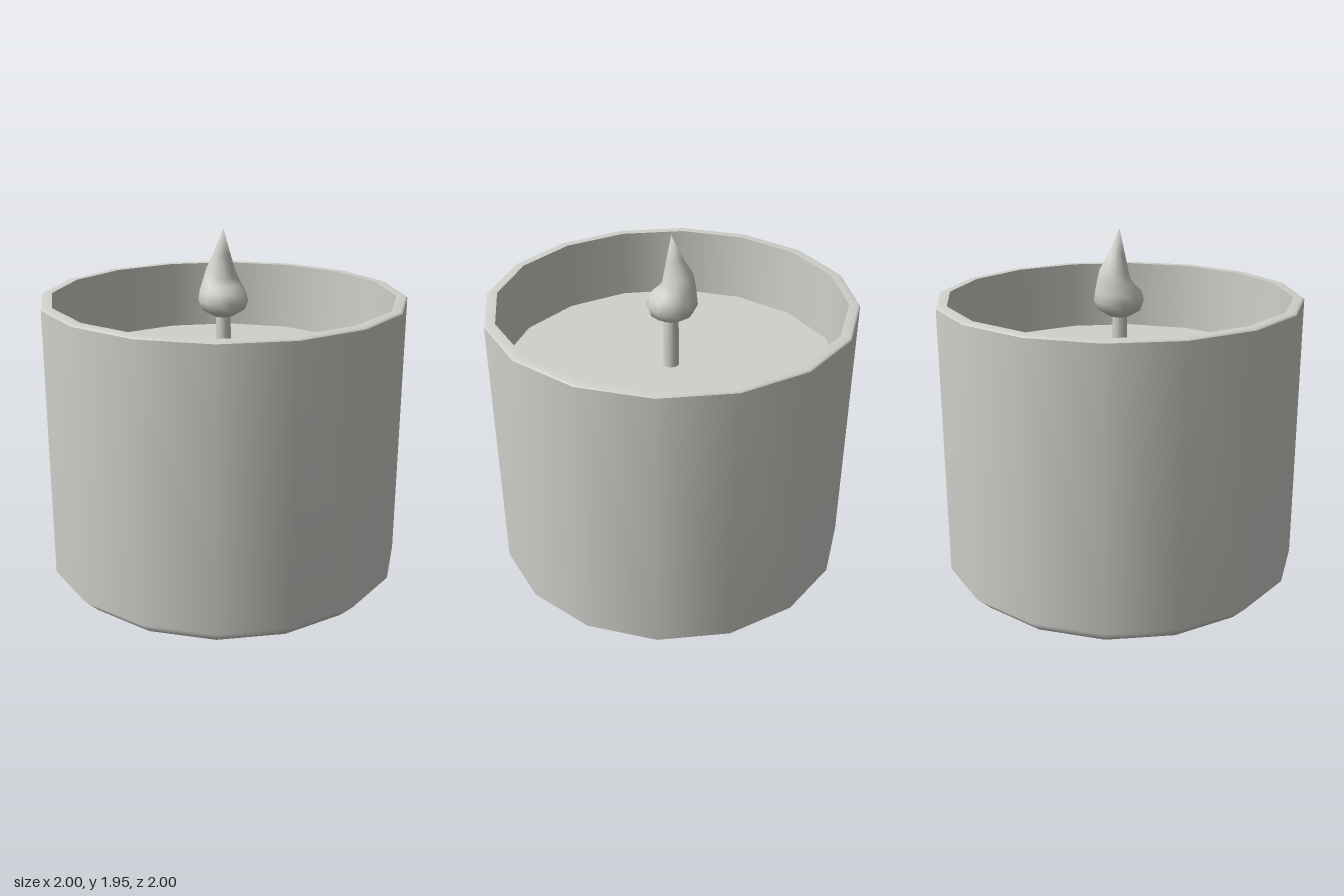
import * as THREE from 'three';
import { mergeVertices } from 'three/addons/utils/BufferGeometryUtils.js';

const SIDES = 16;
const RIM_Y = 1.59, WAX_Y = 1.19, INNER_R = 0.942;

// Surface of revolution from [radius, height] pairs
function lathe(profile, sides) {
  return new THREE.LatheGeometry(profile.map(([r, y]) => new THREE.Vector2(r, y)), sides);
}

// Teardrop flame: rings of [radius, height, z offset, tilt], smooth all over
function flameGeometry() {
  const rings = [
    [0, 1.47, 0, 0], [0.06, 1.475, 0, 0], [0.118, 1.51, 0, 0],
    [0.139, 1.56, -0.004, 0], [0.128, 1.61, -0.01, 0],
    [0.104, 1.66, -0.026, 0.15], [0.083, 1.71, -0.034, 0.35],
    [0.045, 1.815, -0.018, 0.2], [0, 1.95, 0, 0],
  ];
  const geo = lathe(rings, 12);
  const pos = geo.attributes.position;
  for (let i = 0; i < pos.count; i++) {
    const [, y, shift, tilt] = rings[i % rings.length];
    const z = pos.getZ(i);
    pos.setY(i, y - z * tilt);
    pos.setZ(i, z + shift);
  }
  geo.deleteAttribute('uv');
  geo.deleteAttribute('normal');
  const merged = mergeVertices(geo, 1e-4);
  merged.computeVertexNormals();
  return merged;
}

export function createModel() {
  const group = new THREE.Group();
  const wax = new THREE.MeshStandardMaterial({ color: 0xd2d0cb });
  wax.name = 'pale warm grey';

  const add = (name, geometry) => {
    const mesh = new THREE.Mesh(geometry, wax);
    mesh.name = name;
    group.add(mesh);
    return mesh;
  };

  // Jar: base, chamfer and outer wall, then rim and inner wall
  add('outerWall', lathe([[0, 0], [0.92, 0], [1, 0.08], [1, 1.58]], SIDES));
  add('rim', lathe([[1, 1.58], [0.99, RIM_Y], [INNER_R, RIM_Y]], SIDES));
  add('innerWall', lathe([[INNER_R, RIM_Y], [INNER_R, WAX_Y]], SIDES));

  // Wax surface inside the jar
  const surface = add('waxSurface', new THREE.CircleGeometry(INNER_R, SIDES));
  surface.rotation.x = -Math.PI / 2;
  surface.position.y = WAX_Y;

  // Wick and flame
  const wick = add('wick', new THREE.CylinderGeometry(0.04, 0.044, 0.32, 12));
  wick.position.y = WAX_Y + 0.16;
  add('flame', flameGeometry());

  return group;
}
